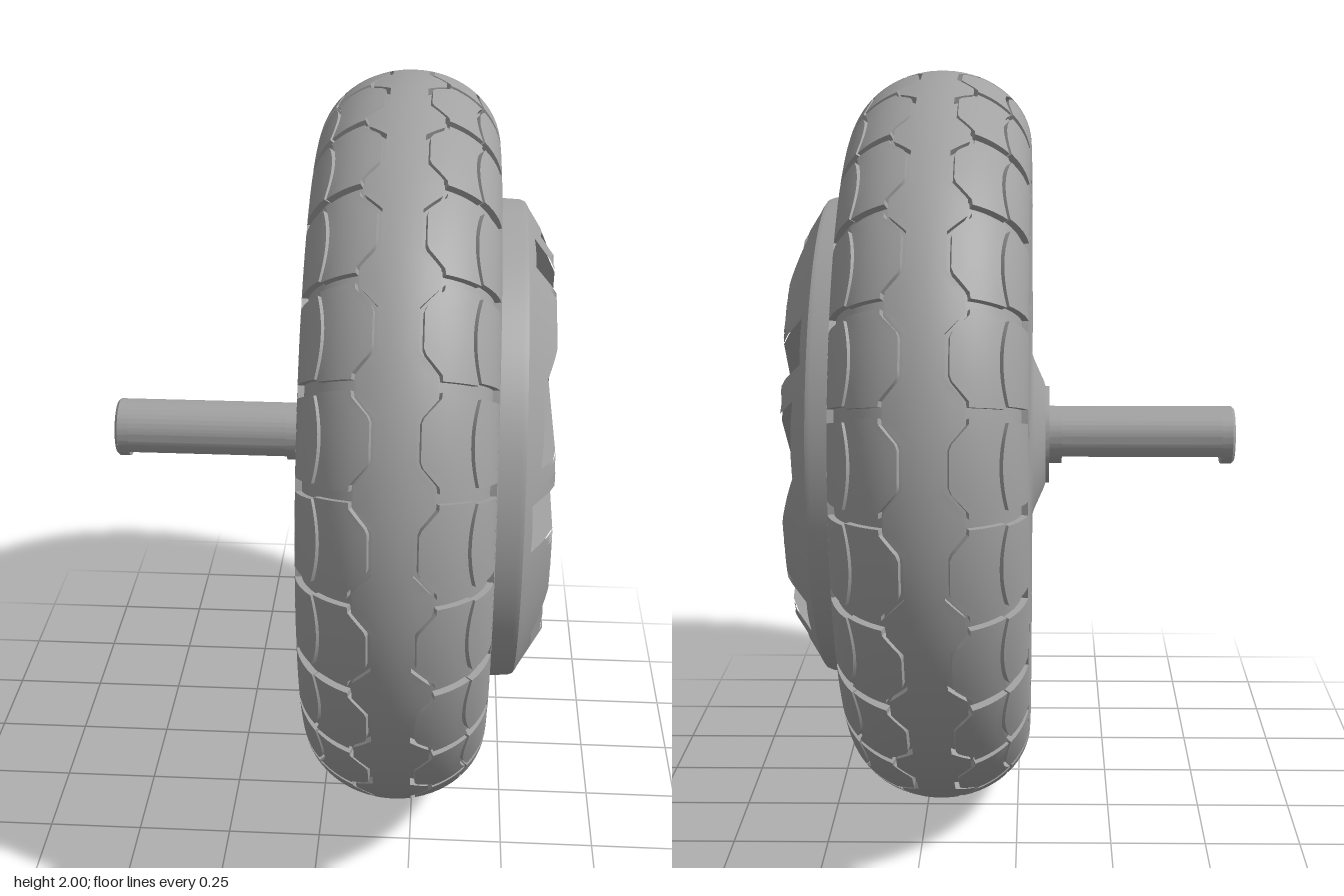
import * as THREE from 'three';
import { toCreasedNormals, mergeGeometries } from 'three/addons/utils/BufferGeometryUtils.js';

const grey = new THREE.MeshStandardMaterial({ color: 0xa2a2a2 });
grey.name = 'grey';

const MID = 0.205, HALF = 0.24, DEPTH = 0.018, BLOCKS = 24, PITCH = (Math.PI * 2) / BLOCKS;
const lerp = THREE.MathUtils.lerp, clamp = THREE.MathUtils.clamp;

function fromTriangles(points, crease) {
  const g = new THREE.BufferGeometry();
  g.setAttribute('position', new THREE.Float32BufferAttribute(points.flatMap((p) => [p.x, p.y, p.z]), 3));
  g.computeVertexNormals();
  return toCreasedNormals(g, crease);
}

function part(name, geometry, parent) {
  const mesh = new THREE.Mesh(geometry, grey);
  mesh.name = name;
  parent.add(mesh);
  return mesh;
}

function lathe(profile, crease = 0.45) {
  const g = new THREE.LatheGeometry(profile.map(([r, x]) => new THREE.Vector2(r, x)), 120);
  return toCreasedNormals(g, crease);
}

// tyre cross-section: phi = 0 is the crown, +-PI/2 the sidewalls
const section = (phi, drop = 0) => [0.8 + (0.2 - drop) * Math.cos(phi), MID + (HALF - drop * 0.9) * Math.sin(phi)];
function treadPoint(theta, phi, drop) {
  const [r, x] = section(phi, drop);
  return new THREE.Vector3(r * Math.sin(theta), x, r * Math.cos(theta));
}

// raised patch of tread between two edges phi = lo(theta), hi(theta)
function treadPatch(t0, t1, lo, hi, nu, nv) {
  const out = [];
  const at = (i, j, drop = 0) => {
    const t = lerp(t0, t1, i / nu);
    return treadPoint(t, lerp(lo(t), hi(t), j / nv), drop);
  };
  const quad = (a, b, c, d) => out.push(a, b, c, a, c, d);
  for (let i = 0; i < nu; i++)
    for (let j = 0; j < nv; j++) quad(at(i, j), at(i + 1, j), at(i + 1, j + 1), at(i, j + 1));
  const wall = (a, b) => quad(at(...a, DEPTH + 0.004), at(...b, DEPTH + 0.004), at(...b), at(...a));
  for (let i = 0; i < nu; i++) {
    wall([i, 0], [i + 1, 0]);
    wall([i + 1, nv], [i, nv]);
  }
  for (let j = 0; j < nv; j++) {
    wall([nu, j], [nu, j + 1]);
    wall([0, j + 1], [0, j]);
  }
  return fromTriangles(out, 0.6);
}

// zigzag edge of the centre band, wide at the joints between blocks
function zigzag(theta) {
  const f = ((theta / PITCH) % 1 + 1) % 1;
  return 0.2 + 0.2 * clamp((Math.abs(2 * f - 1) - 0.4) / 0.4, 0, 1);
}

// height of the hub cover: flat centre with a conical rim
const coverHeight = (x, y) => 0.595 - Math.max(0, Math.hypot(x, y) - 0.53) * 0.636;
const onCover = (p, depth = 0) => new THREE.Vector3(p.x, p.y, coverHeight(p.x, p.y) - depth);

// hub cover skin with recesses: each recess has corner points and a depth per corner
function coverGeometry(recesses) {
  const shape = new THREE.Shape();
  shape.absarc(0, 0, 0.642, 0, Math.PI * 2);
  const outline = shape.getPoints(40);
  outline.pop();
  const holes = recesses.map((r) => r.points);
  const all = [outline, ...holes].flat();
  const skin = [], cuts = [];
  const split = (a, b, c, n) => {
    if (!n) return skin.push(onCover(a), onCover(b), onCover(c));
    const ab = a.clone().lerp(b, 0.5), bc = b.clone().lerp(c, 0.5), ca = c.clone().lerp(a, 0.5);
    split(a, ab, ca, n - 1);
    split(ab, b, bc, n - 1);
    split(ca, bc, c, n - 1);
    split(ab, bc, ca, n - 1);
  };
  for (const [a, b, c] of THREE.ShapeUtils.triangulateShape(outline, holes)) {
    const [p, q, r] = [all[a], all[b], all[c]];
    const ccw = (q.x - p.x) * (r.y - p.y) - (q.y - p.y) * (r.x - p.x) > 0;
    split(p, ccw ? q : r, ccw ? r : q, 4);
  }
  // floors and walls; corners run clockwise
  for (const { points, depths } of recesses) {
    const low = points.map((p, i) => onCover(p, depths[i]));
    cuts.push(low[0], low[3], low[2], low[0], low[2], low[1]);
    points.forEach((p, i) => {
      const k = (i + 1) % 4, n = 10;
      for (let s = 0; s < n; s++) {
        const a = onCover(p.clone().lerp(points[k], s / n));
        const b = onCover(p.clone().lerp(points[k], (s + 1) / n));
        const c = low[i].clone().lerp(low[k], s / n), d = low[i].clone().lerp(low[k], (s + 1) / n);
        cuts.push(c, d, b, c, b, a);
      }
    });
  }
  return mergeGeometries([fromTriangles(skin, 0.35), fromTriangles(cuts, 0.2)]);
}

export function createModel() {
  const model = new THREE.Group();
  model.name = 'hubMotorWheel';

  // everything turned about the axle: local y becomes world x
  const turned = new THREE.Group();
  turned.name = 'tyreAndHub';
  turned.rotation.z = -Math.PI / 2;
  turned.position.y = 1;
  model.add(turned);

  // tyre carcass at groove depth, with flush sidewalls
  const L = MID - HALF, R = MID + HALF, edge = 1.42;
  const tyre = [[0.705, L], section(-Math.PI / 2), section(-edge)];
  for (let i = 0; i <= 32; i++) tyre.push(section(lerp(-edge, edge, i / 32), DEPTH));
  tyre.push(section(edge), section(Math.PI / 2), [0.69, R]);
  part('tyre', lathe(tyre), turned);

  // flat back plate with a conical axle boss
  part('backPlate', lathe([[0, -0.085], [0.135, -0.085], [0.135, -0.075], [0.15, -0.07], [0.21, -0.043],
    [0.235, L], [0.697, L], [0.698, L + 0.01], [0.705, L + 0.01], [0.705, L]]), turned);

  // hub drum on the other side
  part('hubDrum', lathe([[0.69, R], [0.69, R - 0.008], [0.665, R - 0.008], [0.66, 0.452],
    [0.657, 0.505], [0.652, 0.518], [0.641, 0.5255]]), turned);

  // tread: zigzag centre band, side blocks and shoulder blocks
  part('centreBand', treadPatch(0, Math.PI * 2, (t) => -zigzag(t), zigzag, BLOCKS * 20, 6), turned);
  const bulge = (t) => 0.8 + 0.12 * (2 * t / PITCH - 1) ** 2;
  const rows = [
    ['sideBlock', (t) => zigzag(t) + 0.05, bulge, 0.013],
    ['shoulderBlock', (t) => bulge(t) + 0.05, () => edge + 0.02, 0.02],
  ];
  for (const [name, inner, outer, gap] of rows) {
    for (const side of [1, -1]) {
      const lo = side > 0 ? inner : (t) => -outer(t), hi = side > 0 ? outer : (t) => -inner(t);
      const block = treadPatch(gap, PITCH - gap, lo, hi, 16, 6);
      for (let i = 0; i < BLOCKS; i++) part(name, block, turned).rotation.y = i * PITCH;
    }
  }

  // hub cover with five slanted slots and five sloping pockets
  const slot = [[-0.232, 0.575], [-0.11, 0.612], [0.11, 0.085], [0.022, 0.095]];
  const pocket = [[-0.02, 0.59], [0.17, 0.565], [0.375, 0.342], [0.165, 0.11]];
  const recesses = [];
  for (let i = 0; i < 5; i++) {
    const turn = (list) => list.map(([x, y]) => new THREE.Vector2(x, y).rotateAround(new THREE.Vector2(), (i * Math.PI * 2) / 5));
    recesses.push({ points: turn(slot), depths: [0.045, 0.045, 0.04, 0.04] });
    recesses.push({ points: turn(pocket), depths: [0.06, 0.05, 0.008, 0.012] });
  }
  const face = new THREE.Group();
  face.name = 'hubFace';
  face.rotation.y = Math.PI / 2;
  face.position.y = 1;
  model.add(face);
  part('hubCover', coverGeometry(recesses), face);

  // axle: hollow shaft with a flat along its underside and round ends
  const axlePiece = (name, flat, x0, x1) => {
    const shape = new THREE.Shape();
    const a = flat ? Math.asin(0.05 / 0.08) : Math.PI / 2;
    shape.absarc(0, 0, 0.08, -a, Math.PI + a, false);
    shape.closePath();
    const bore = new THREE.Path();
    bore.absarc(0, 0, 0.036, 0, Math.PI * 2, true);
    shape.holes.push(bore);
    const g = new THREE.ExtrudeGeometry(shape, { depth: x1 - x0, bevelEnabled: false, curveSegments: 40 });
    g.translate(0, 0, x0);
    part(name, toCreasedNormals(g, 0.5), face);
  };
  axlePiece('axleEnd', false, -0.593, -0.563);
  axlePiece('axleShaft', true, -0.563, -0.12);
  axlePiece('axleCollar', false, -0.12, -0.08);
  // chamfered tip
  part('axleTip', lathe([[0.036, -0.56], [0.036, -0.594], [0.042, -0.6], [0.073, -0.6], [0.08, -0.593]]), turned);
  return model;
}
